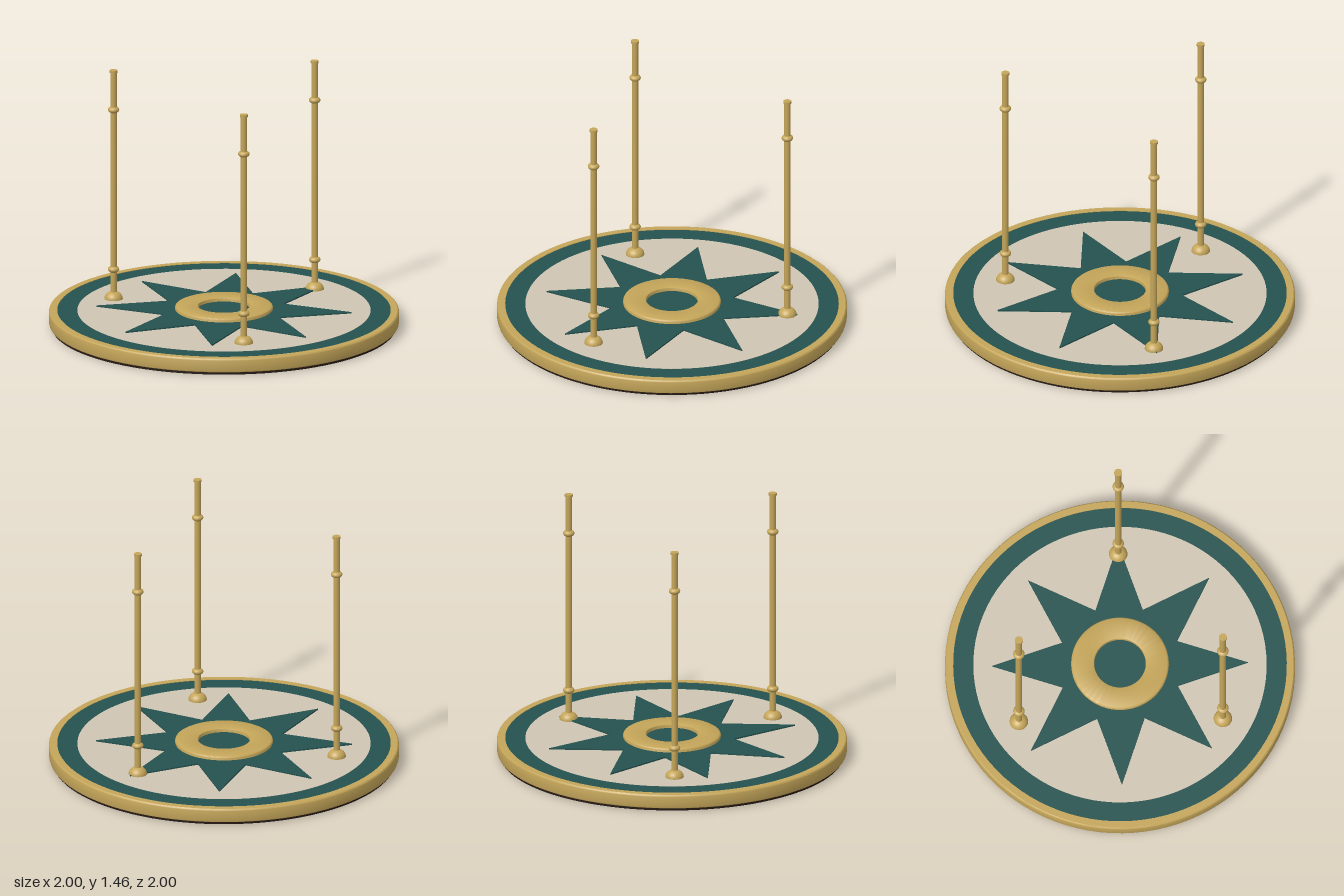
import * as THREE from 'three';
import { toCreasedNormals } from 'three/addons/utils/BufferGeometryUtils.js';

const material = (name, color) => {
  const m = new THREE.MeshStandardMaterial({ color });
  m.name = name;
  return m;
};

export function createModel() {
  const gold = material('gold', 0xc4a559);
  const teal = material('deep teal', 0x24524f);
  const cream = material('cream', 0xcfc5b3);
  const brown = material('dark brown', 0x251812);

  const model = new THREE.Group();
  model.name = 'starPlatform';

  const add = (parent, name, geometry, mat, y = 0) => {
    const mesh = new THREE.Mesh(geometry, mat);
    mesh.name = name;
    mesh.position.y = y;
    parent.add(mesh);
    return mesh;
  };
  // Turned part from [radius, height] pairs, keeping sharp edges
  const turned = (profile, segments = 96) => toCreasedNormals(
    new THREE.LatheGeometry(profile.map(([r, y]) => new THREE.Vector2(r, y)), segments), 0.6);
  // Closed ring with a rectangular section
  const ring = (inner, outer, y0, y1) => turned(
    [[inner, y0], [outer, y0], [outer, y1], [inner, y1], [inner, y0]]);

  // Round base, open in the middle
  add(model, 'basePlate', ring(0.148, 0.985, 0, 0.03), brown);
  add(model, 'hubCeiling', new THREE.CylinderGeometry(0.148, 0.148, 0.006, 64), brown, 0.09);

  // Gold rim with softened edges
  add(model, 'rim', turned([
    [0.953, 0.015], [0.992, 0.015], [0.998, 0.019], [1, 0.026], [1, 0.086],
    [0.998, 0.092], [0.992, 0.097], [0.953, 0.097], [0.953, 0.015],
  ]), gold);

  // Deck: teal border around a cream floor
  add(model, 'deckBorder', ring(0.836, 0.954, 0.03, 0.094), teal);
  add(model, 'deckFloor', ring(0.148, 0.838, 0.03, 0.095), cream);

  // Eight-pointed star inlay
  const star = new THREE.Shape();
  for (let i = 0; i < 16; i++) {
    const r = i % 2 ? 0.355 : 0.732;
    const a = (i * Math.PI) / 8;
    star[i ? 'lineTo' : 'moveTo'](r * Math.cos(a), r * Math.sin(a));
  }
  star.closePath();
  const starGeometry = new THREE.ExtrudeGeometry(star, { depth: 0.009, bevelEnabled: false });
  starGeometry.rotateX(-Math.PI / 2);
  add(model, 'starInlay', starGeometry, teal, 0.094);

  // Central collar lining the opening
  add(model, 'centreRing', turned([
    [0.147, 0.001], [0.279, 0.001], [0.279, 0.115], [0.276, 0.121], [0.269, 0.125],
    [0.155, 0.125], [0.149, 0.122], [0.147, 0.117], [0.147, 0.001],
  ]), gold);

  // Three poles, each with a domed foot, two knobs and a cap
  const foot = new THREE.SphereGeometry(0.053, 32, 12, 0, Math.PI * 2, 0, Math.PI / 2);
  foot.scale(1, 0.85, 1);
  const shaft = new THREE.CylinderGeometry(0.0185, 0.0185, 1.35, 24);
  const knob = new THREE.SphereGeometry(0.033, 24, 16);
  knob.scale(1, 0.62, 1);
  const cap = new THREE.CylinderGeometry(0.023, 0.023, 0.014, 24);
  for (let i = 0; i < 3; i++) {
    const angle = -Math.PI / 2 + (i * Math.PI * 2) / 3;
    const pole = new THREE.Group();
    pole.name = 'pole' + (i + 1);
    pole.position.set(0.673 * Math.cos(angle), 0, 0.673 * Math.sin(angle));
    add(pole, 'foot', foot, gold, 0.095);
    add(pole, 'shaft', shaft, gold, 0.77);
    add(pole, 'lowerKnob', knob, gold, 0.27);
    add(pole, 'upperKnob', knob, gold, 1.22);
    add(pole, 'cap', cap, gold, 1.448);
    model.add(pole);
  }
  return model;
}
